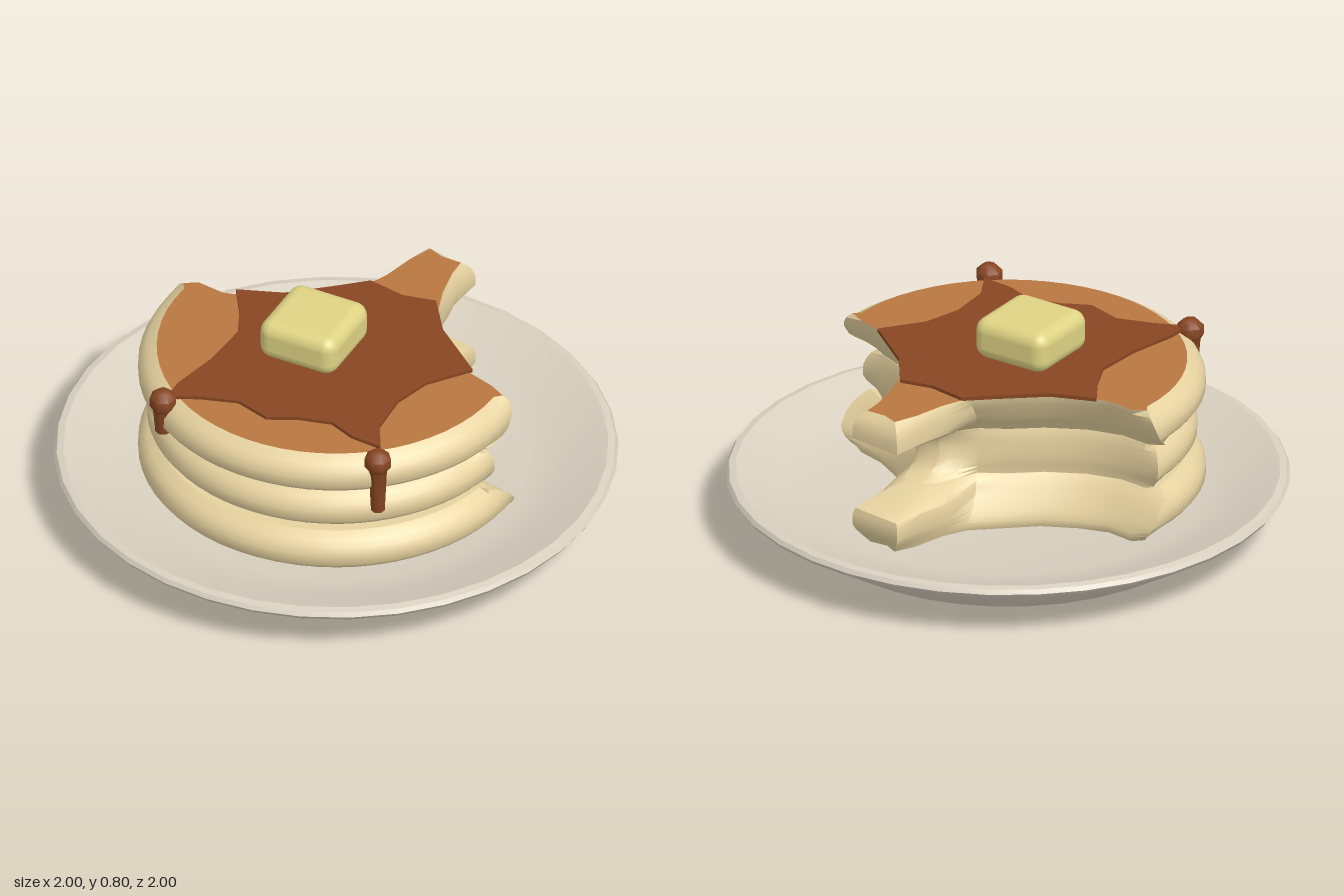
import * as THREE from 'three';
import { toCreasedNormals } from 'three/addons/utils/BufferGeometryUtils.js';
import { RoundedBoxGeometry } from 'three/addons/geometries/RoundedBoxGeometry.js';

const mat = (name, color, side = THREE.FrontSide) => {
  const m = new THREE.MeshStandardMaterial({ color, side });
  m.name = name;
  return m;
};

// Bitten back edge, from right to left: outer x, z, then x, z where the bite is deepest
const BITE = [
  [0.6, -0.07, 0.58, 0.05], [0.5, -0.1, 0.46, 0], [0.4, -0.16, 0.37, -0.07],
  [0.32, -0.24, 0.29, -0.15], [0.25, -0.35, 0.22, -0.22], [0.21, -0.46, 0.19, -0.28],
  [0.19, -0.57, 0.17, -0.32], [0.21, -0.67, 0.14, -0.34], [0.1, -0.69, 0.1, -0.345],
  [0, -0.7, 0.06, -0.34], [-0.02, -0.58, 0.04, -0.31], [-0.05, -0.46, 0, -0.28],
  [-0.09, -0.38, -0.05, -0.25], [-0.18, -0.3, -0.14, -0.2], [-0.28, -0.21, -0.24, -0.12],
  [-0.4, -0.15, -0.37, -0.05], [-0.5, -0.12, -0.5, -0.02], [-0.6, -0.135, -0.6, -0.03],
];
const ARC = 32;
// Pancake edge: height above its base, inset from the full radius
const EDGE = [[0, 0.08], [0.015, 0.06], [0.03, 0.04], [0.05, 0.015], [0.07, 0],
  [0.11, 0], [0.135, 0.012], [0.155, 0.03], [0.175, 0.065]];

// Outline of a pancake at height y, shrunk by the edge inset
function outline(R, y, inset) {
  const d = Math.abs(y - 0.39);
  const hollow = Math.max(0, 1 - (d / 0.25) ** 2);
  const gap = Math.sqrt(Math.max(0, 1 - (d / 0.12) ** 2));
  const a0 = Math.asin((-0.14 + 0.1 * hollow) / R);
  const a1 = Math.PI - Math.asin((-0.07 + 0.14 * hollow) / R);
  const pts = [];
  for (let i = 0; i <= ARC; i++) {
    const a = a0 + (a1 - a0) * i / ARC;
    pts.push([-R * Math.cos(a), R * Math.sin(a), inset]);
  }
  BITE.forEach(([x, z, xi, zi], i) => {
    const w = i > 4 && i < 12 ? gap : hollow;
    const tip = i > 6 && i < 10;
    pts.push([x + (xi - x) * w, z + (zi - z) * w, inset * (tip ? 0.8 : 0.3)]);
  });
  const n = pts.length;
  return pts.map(([x, z, s], i) => {
    const p = pts[(i + n - 1) % n], q = pts[(i + 1) % n];
    const tx = q[0] - p[0], tz = q[1] - p[1], l = Math.hypot(tx, tz) || 1;
    return [x + tz / l * s, z - tx / l * s];
  });
}

// Side wall through all outlines
function wall(R, base) {
  const rows = EDGE.map(([h, s]) => outline(R, base + h, s));
  const n = rows[0].length, pos = [], idx = [];
  rows.forEach((row, j) => row.forEach(([x, z]) => pos.push(x, base + EDGE[j][0], z)));
  for (let j = 0; j < rows.length - 1; j++) {
    for (let i = 0; i < n; i++) {
      const a = j * n + i, b = j * n + (i + 1) % n;
      idx.push(a, b, b + n, a, b + n, a + n);
    }
  }
  const g = new THREE.BufferGeometry();
  g.setAttribute('position', new THREE.Float32BufferAttribute(pos, 3));
  g.setIndex(idx);
  return toCreasedNormals(g, 0.75);
}

// Flat face filling one outline
function cap(R, base, row) {
  const [h, s] = EDGE[row];
  const pts = outline(R, base + h, s).map(([x, z]) => new THREE.Vector2(x, -z));
  const g = new THREE.ShapeGeometry(new THREE.Shape(pts));
  return g.rotateX(-Math.PI / 2).translate(0, base + h, 0);
}

export function createModel() {
  const group = new THREE.Group();
  const plateMat = mat('plate ceramic', 0xd8d0c0);
  const cakeMat = mat('pancake batter', 0xe6d2a0, THREE.DoubleSide);
  const crustMat = mat('browned crust', 0xb87840, THREE.DoubleSide);
  const syrupMat = mat('syrup', 0x874622);
  const butterMat = mat('butter', 0xded383);
  const add = (name, geo, material, parent = group) => {
    const m = new THREE.Mesh(geo, material);
    m.name = name;
    parent.add(m);
    return m;
  };

  // Plate
  const plate = [[0, 0], [0.72, 0], [0.99, 0.165], [1, 0.18], [0.99, 0.195], [0.965, 0.2],
    [0.93, 0.188], [0.8, 0.135], [0.68, 0.105], [0, 0.1]].map(p => new THREE.Vector2(...p));
  add('plate', toCreasedNormals(new THREE.LatheGeometry(plate, 36), 0.5), plateMat);

  // Stack of three bitten pancakes
  [['bottomPancake', 0.7, 0.118], ['middlePancake', 0.67, 0.288], ['topPancake', 0.7, 0.458]]
    .forEach(([name, R, base], i) => {
      const cake = new THREE.Group();
      cake.name = name;
      group.add(cake);
      add('pancakeEdge', wall(R, base), cakeMat, cake);
      add('pancakeUnderside', cap(R, base, 0), cakeMat, cake);
      add('pancakeTop', cap(R, base, EDGE.length - 1), i === 2 ? crustMat : cakeMat, cake);
    });

  // Syrup pool
  const pool = [[-0.46, -0.12], [-0.3, -0.18], [-0.15, -0.305], [-0.06, -0.385], [0.08, -0.36],
    [0.2, -0.385], [0.3, -0.245], [0.5, -0.085], [0.39, 0.06], [0.35, 0.2], [0.36, 0.36],
    [0.42, 0.47], [0.3, 0.46], [0.2, 0.42], [0.08, 0.45], [-0.02, 0.5], [-0.15, 0.46],
    [-0.28, 0.5], [-0.39, 0.55], [-0.39, 0.46], [-0.35, 0.28], [-0.34, 0.1], [-0.39, -0.01]];
  const poolShape = new THREE.Shape(pool.map(([x, z]) => new THREE.Vector2(x, -z)));
  const poolGeo = new THREE.ExtrudeGeometry(poolShape, { depth: 0.014, bevelEnabled: false });
  add('syrupPool', poolGeo.rotateX(-Math.PI / 2).translate(0, 0.631, 0), syrupMat);

  // Drips running over the edge
  [['rightDrip', -0.4, 0.56, 0.49, 0.028], ['leftDrip', 0.44, 0.53, 0.41, 0.025]]
    .forEach(([name, x, z, low, r]) => {
      const profile = [[0, low], [r, low + 0.005], [r + 0.008, 0.59], [0.048, 0.61],
        [0.048, 0.645], [0.025, 0.668], [0, 0.672]].map(p => new THREE.Vector2(...p));
      const drip = add(name, toCreasedNormals(new THREE.LatheGeometry(profile, 7), 0.9), syrupMat);
      drip.position.set(x, 0, z);
    });

  // Butter pat
  const butter = add('butter', new RoundedBoxGeometry(0.305, 0.155, 0.305, 4, 0.05), butterMat);
  butter.position.set(-0.06, 0.722, 0.055);

  return group;
}
